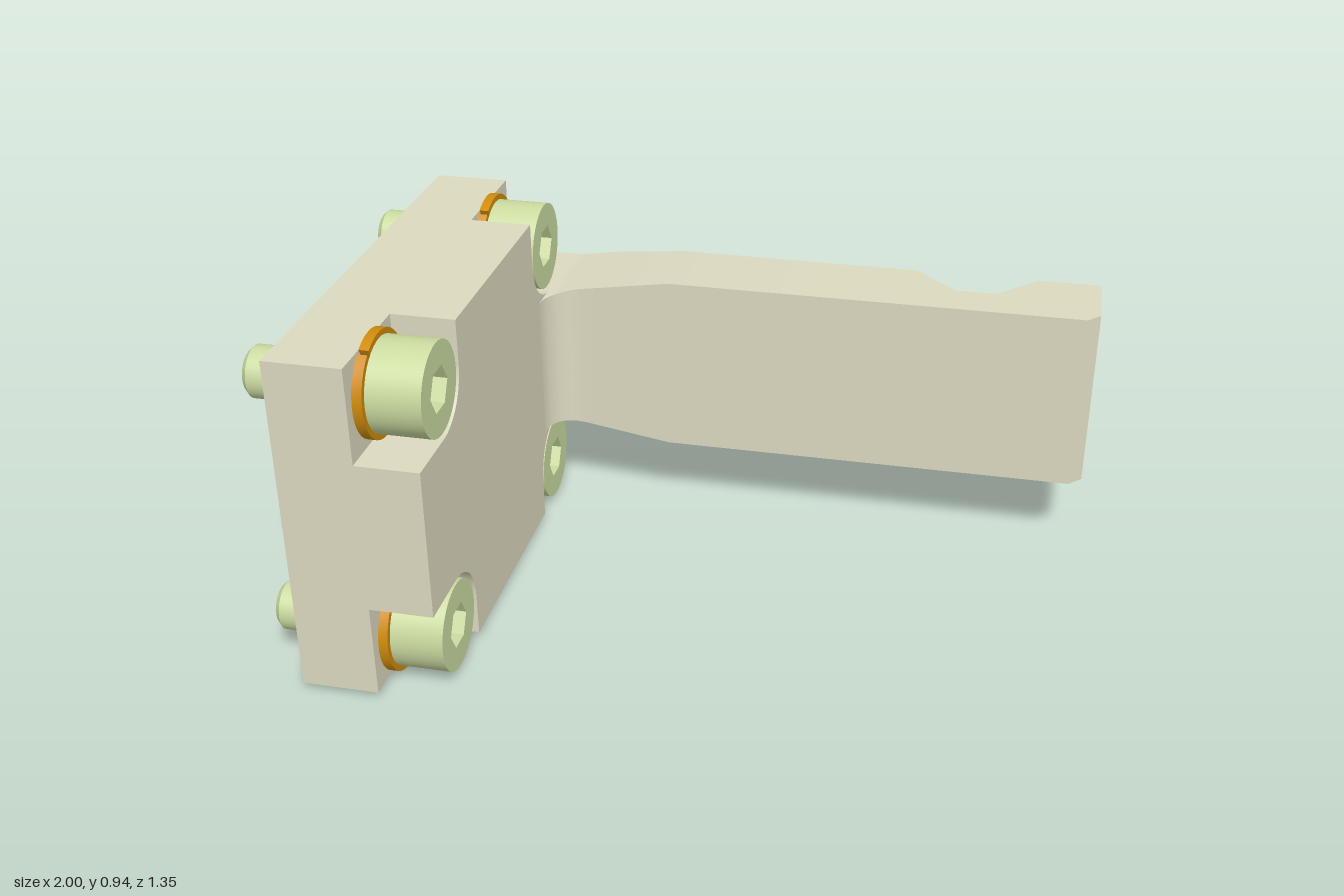
import * as THREE from 'three';
import { toCreasedNormals, mergeVertices } from 'three/addons/utils/BufferGeometryUtils.js';

const mat = (color, side = THREE.FrontSide) => new THREE.MeshStandardMaterial({ color, side });
const bodyMat = mat(0xdcd9c0), boltMat = mat(0xcbdba0), washerMat = mat(0xd08c0c), pinMat = mat(0xaaa262);
const MID = 0.475; // height of the symmetry plane

function add(parent, name, geometry, material) {
  const mesh = new THREE.Mesh(geometry, material);
  mesh.name = name;
  parent.add(mesh);
  return mesh;
}

// Extrude a (-z, y) outline along +x, starting at x
function extrudeX(shape, x, depth) {
  const g = new THREE.ExtrudeGeometry(shape, { depth, bevelEnabled: false, curveSegments: 20 });
  return toCreasedNormals(g.rotateY(Math.PI / 2).translate(x, 0, 0), 0.5);
}

// Front layer of the plate, with a rounded pocket at each corner
function pocketLayer() {
  const s = new THREE.Shape(), r = 0.135, P = Math.PI;
  s.moveTo(-0.375, 0.02);
  s.lineTo(0.235, 0.02);
  s.absarc(0.37, 0.1375, r, P, P / 2, true);
  s.lineTo(0.54, 0.2725);
  s.lineTo(0.54, 0.6775);
  s.absarc(0.37, 0.8125, r, 1.5 * P, P, true);
  s.lineTo(0.235, 0.93);
  s.lineTo(-0.375, 0.93);
  s.absarc(-0.51, 0.8125, r, 0, -P / 2, true);
  s.lineTo(-0.675, 0.6775);
  s.lineTo(-0.675, 0.2725);
  s.absarc(-0.51, 0.1375, r, P / 2, 0, true);
  return extrudeX(s, -0.69, 0.165);
}

// Arm: cross-sections along x; the back is cut by chamfers, a notch and V grooves
const halfHeight = x => 0.2025 + 0.05 * THREE.MathUtils.clamp((x + 0.5) / 0.32, 0, 1);

function frontZ(x) {
  if (x > 0.965) return -0.375 - (x - 0.965);
  if (x > -0.43) return -0.375;
  return -0.28 - Math.sqrt(Math.max(0, 0.095 ** 2 - (x + 0.43) ** 2));
}

function backZ(x, y) {
  const endChamfer = -0.86 - x;
  const notch = Math.min(0.145, x - 0.46, 0.86 - x);
  const edgeChamfer = Math.abs(y) - 0.2225;
  const groove = x > 0.65
    ? 0.08 * (1 - Math.abs(y) / 0.085)
    : 0.055 * (1 - Math.hypot(y, Math.max(0, 0.27 - x)) / 0.085);
  return -0.64 + Math.max(0, endChamfer, notch, edgeChamfer, groove);
}

function armGeometry() {
  const xs = [-0.89, -0.86, -0.5, -0.372, -0.18, 0.49, 0.605, 0.715, 0.83, 0.965, 1];
  for (let k = 0; k <= 8; k++) {
    const a = k / 8 * Math.PI / 2;
    xs.push(-0.43 - 0.095 * Math.cos(a));       // fillet
    xs.push(0.27 - 0.085 * Math.cos(a));        // rounded groove end
    xs.push(0.46 + 0.055 * k / 8, 0.86 - 0.08 * k / 8); // groove meets notch
  }
  xs.sort((a, b) => a - b);

  const rings = xs.map(x => {
    const h = halfHeight(x), half = [h, Math.min(h, 0.2225)];
    for (let k = 8; k > 0; k--) half.push(0.085 * k / 8);
    const ys = [...half, 0, ...half.map(y => -y).reverse()];
    return [[x, h, frontZ(x)], ...ys.map(y => [x, y, backZ(x, y)]), [x, -h, frontZ(x)]];
  });

  const pos = [], tri = (...p) => p.forEach(v => pos.push(v[0], v[1] + MID, v[2]));
  const n = rings[0].length;
  for (let i = 0; i < rings.length - 1; i++) {
    for (let j = 0; j < n; j++) {
      const k = (j + 1) % n;
      const a = rings[i][j], b = rings[i][k], c = rings[i + 1][k], d = rings[i + 1][j];
      // split each quad along the diagonal that follows the cut
      if (a[2] + c[2] <= b[2] + d[2]) { tri(a, d, c); tri(a, c, b); }
      else { tri(a, d, b); tri(b, d, c); }
    }
  }
  // end caps
  const first = rings[0], last = rings[rings.length - 1];
  for (let j = 0; j < n - 1; j++) {
    tri([first[0][0], 0, first[0][2]], first[j], first[j + 1]);
    tri([last[0][0], 0, last[0][2]], last[j + 1], last[j]);
  }
  const g = new THREE.BufferGeometry();
  g.setAttribute('position', new THREE.Float32BufferAttribute(pos, 3));
  return toCreasedNormals(mergeVertices(g), 0.35);
}

// Socket head bolt with a split washer, axis along x through the origin
function bolt() {
  const g = new THREE.Group();
  g.name = 'bolt';

  const head = new THREE.Shape().absarc(0, 0, 0.12, 0, Math.PI * 2);
  const hex = new THREE.Path();
  for (let i = 0; i < 6; i++) {
    const a = -i * Math.PI / 3;
    hex[i ? 'lineTo' : 'moveTo'](0.059 * Math.cos(a), 0.059 * Math.sin(a));
  }
  hex.closePath();
  head.holes.push(hex);
  add(g, 'boltHead', extrudeX(head, -0.665, 0.138), boltMat);
  const floor = new THREE.CylinderGeometry(0.1, 0.1, 0.04, 32).rotateZ(Math.PI / 2);
  add(g, 'socketFloor', floor, boltMat).position.x = -0.63;

  const ring = new THREE.Shape(), start = 2.17, end = start + Math.PI * 2 - 0.09;
  ring.absarc(0, 0, 0.135, start, end, false);
  ring.absarc(0, 0, 0.072, end, start, true);
  add(g, 'splitWasher', extrudeX(ring, -0.69, 0.025), washerMat);

  add(g, 'boltShank', rod(0.066, 0.35, 0.014).rotateZ(Math.PI / 2).translate(-0.65, 0, 0), boltMat);
  return g;
}

// Round rod from y = 0 to y = length, with a chamfered far end
function rod(r, length, c) {
  const pts = [[0, 0], [r, 0], [r, length - c], [r - c, length], [0, length]];
  return toCreasedNormals(new THREE.LatheGeometry(pts.map(p => new THREE.Vector2(...p)), 32), 0.5);
}

export function createModel() {
  const model = new THREE.Group();
  model.name = 'bracket';

  // Mounting plate
  const plate = new THREE.Group();
  plate.name = 'mountingPlate';
  model.add(plate);
  add(plate, 'plateBase', new THREE.BoxGeometry(0.2, 0.91, 1.215), bodyMat).position.set(-0.79, MID, 0.0675);
  add(plate, 'pocketLayer', pocketLayer(), bodyMat);

  add(model, 'arm', armGeometry(), bodyMat);

  // Four bolts
  for (const z of [0.51, -0.37]) for (const y of [0.1375, 0.8125]) {
    const b = bolt();
    b.position.set(0, y, z);
    model.add(b);
  }

  // Locating pins on both sides of the notch
  for (const x of [0.39, 0.93]) for (const s of [-1, 1]) {
    const pin = add(model, 'locatingPin', rod(0.049, 0.085, 0.008).rotateX(-Math.PI / 2), pinMat);
    pin.position.set(x, MID + s * 0.1525, -0.59);
  }
  return model;
}
